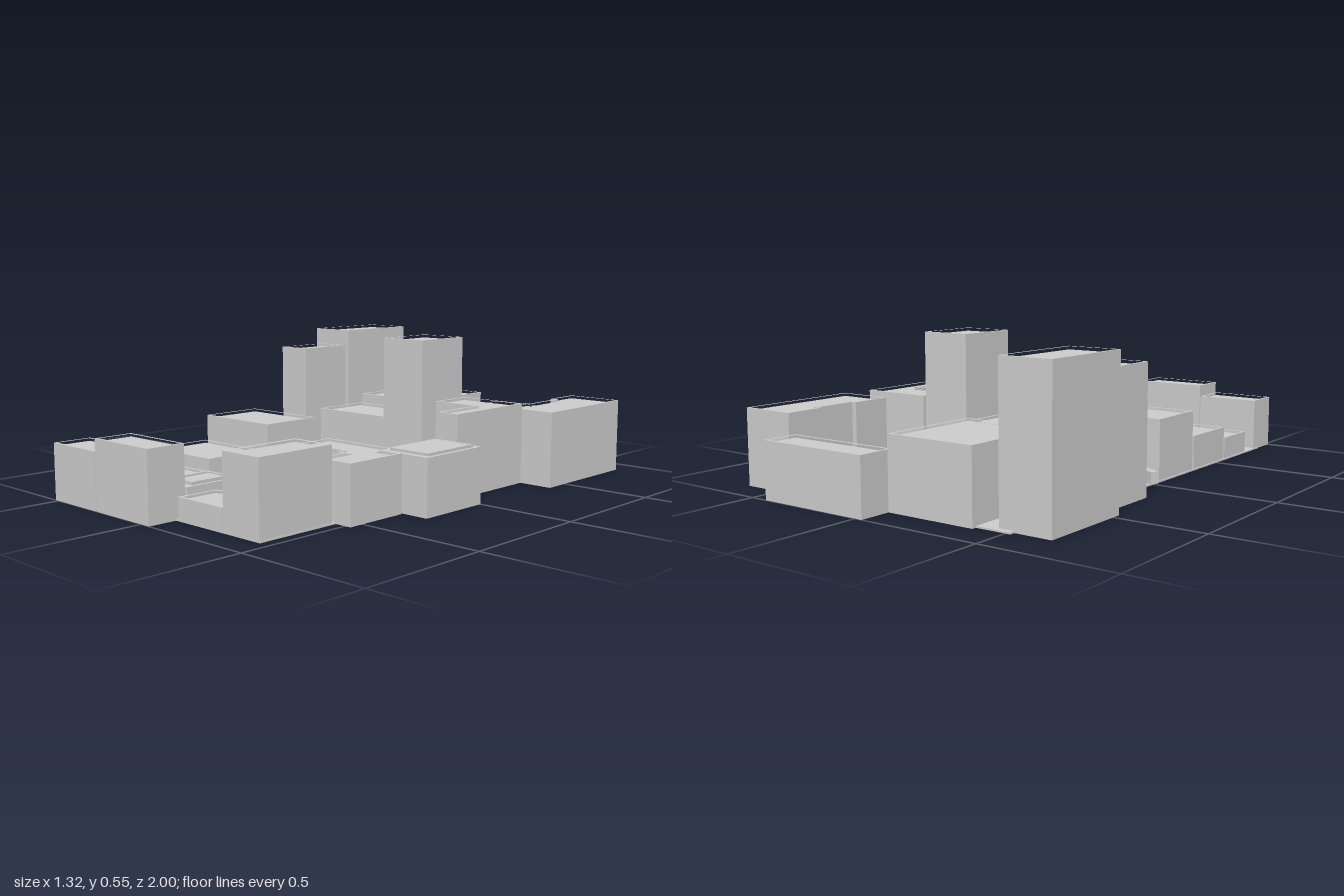
import * as THREE from 'three';

const material = new THREE.MeshStandardMaterial({ color: 0xcccccc });

// Rectangle footprint as [x, z] corners
const rect = (x0, x1, z0, z1) => [[x0, z0], [x1, z0], [x1, z1], [x0, z1]];

// Move every edge of a footprint (same corner order as rect) inwards by d
function inset(points, d) {
  const n = points.length;
  const normal = (a, b) => {
    const dx = b[0] - a[0], dz = b[1] - a[1], len = Math.hypot(dx, dz);
    return [-dz / len, dx / len];
  };
  return points.map((p, i) => {
    const a = normal(points[(i + n - 1) % n], p);
    const b = normal(p, points[(i + 1) % n]);
    return [p[0] + d * (a[0] + b[0]), p[1] + d * (a[1] + b[1])];
  });
}

// Upright prism over a footprint, optionally with an opening
function prism(name, points, y0, y1, hole) {
  const toVec = ([x, z]) => new THREE.Vector2(x, -z);
  const shape = new THREE.Shape(points.map(toVec));
  if (hole) shape.holes.push(new THREE.Path(hole.map(toVec)));
  const geometry = new THREE.ExtrudeGeometry(shape, { depth: y1 - y0, bevelEnabled: false });
  geometry.rotateX(-Math.PI / 2);
  geometry.translate(0, y0, 0);
  const mesh = new THREE.Mesh(geometry, material);
  mesh.name = name;
  return mesh;
}

// Building with a recessed flat roof behind a parapet
function building(name, points, height, rim = 0.01, depth = 0.012) {
  const group = new THREE.Group();
  group.name = name;
  group.add(
    prism('walls', points, 0, height - depth),
    prism('parapet', points, height - depth, height, inset(points, rim)),
  );
  return group;
}

// Building whose flat top carries a smaller raised frame
function framedBuilding(name, points, frame, height, rise) {
  const group = new THREE.Group();
  group.name = name;
  group.add(
    prism('walls', points, 0, height),
    prism('roofFrame', frame, height, height + rise, inset(frame, 0.012)),
  );
  return group;
}

export function createModel() {
  const city = new THREE.Group();
  city.name = 'cityBlock';
  city.add(prism('groundSlab', rect(-0.52, 0.46, -0.86, 0.89), 0, 0.006));

  const buildings = [
    // Back rows
    ['tallBackTower', rect(-0.66, -0.46, -0.84, -0.465), 0.54],
    ['slimSideTower', rect(-0.605, -0.46, -0.445, -0.2), 0.475],
    ['backHall', rect(-0.385, -0.03, -0.877, -0.475), 0.262],
    ['backHallAnnex', rect(-0.31, -0.065, -0.475, -0.405), 0.1],
    ['rearBlock', rect(-0.03, 0.43, -1, -0.86), 0.21],
    ['notchedSideBlock', [[0.435, -0.885], [0.657, -0.885], [0.657, -0.4], [0.435, -0.4],
      [0.435, -0.56], [0.455, -0.56], [0.455, -0.73], [0.435, -0.73]], 0.288],
    // Middle rows
    ['centreHall', rect(-0.325, 0.035, -0.4, -0.155), 0.235],
    ['centreTower', rect(0.037, 0.233, -0.397, -0.148), 0.55],
    ['cornerBlock', [[0.243, -0.4], [0.522, -0.4], [0.522, 0], [0.43, 0],
      [0.43, -0.222], [0.243, -0.222]], 0.31],
    ['sideHouse', rect(-0.515, -0.155, 0.045, 0.3), 0.235],
    ['courtHouse', [[-0.057, 0.067], [0.28, 0.067], [0.28, 0.257], [0.17, 0.257],
      [0.17, 0.222], [0.05, 0.222], [0.05, 0.257], [-0.057, 0.257]], 0.165],
    ['smallSideBlock', rect(0.375, 0.525, 0.305, 0.557), 0.21],
    ['lowSideHouse', rect(-0.515, -0.18, 0.31, 0.567), 0.135],
    // Front rows
    ['lowNotchedHouse', [[-0.515, 0.575], [-0.18, 0.575], [-0.18, 0.765], [-0.285, 0.765],
      [-0.285, 0.732], [-0.405, 0.732], [-0.405, 0.765], [-0.515, 0.765]], 0.09],
    ['lowFrontHall', [[0.057, 0.405], [0.284, 0.405], [0.284, 0.89], [0.057, 0.89],
      [0.057, 0.73], [0.078, 0.73], [0.078, 0.57], [0.057, 0.57]], 0.083],
    ['frontCornerBlock', rect(0.286, 0.457, 0.573, 0.89), 0.267, 0.014],
    ['frontLowBlock', rect(-0.515, -0.258, 0.85, 1), 0.21],
    ['frontHighBlock', rect(-0.255, 0.043, 0.85, 1), 0.256],
  ];
  for (const spec of buildings) city.add(building(...spec));

  city.add(
    framedBuilding('framedSideBlock', rect(0.42, 0.63, 0, 0.297), rect(0.445, 0.615, 0.03, 0.275), 0.207, 0.01),
    framedBuilding('framedSmallHouse', rect(-0.175, -0.033, 0.573, 0.782), rect(-0.165, -0.045, 0.585, 0.752), 0.085, 0.012),
  );

  // Two small angled walls at the edge of the slab: x, z, length, width, turn
  for (const [x, z, length, width, turn] of [
    [-0.478, 0.003, 0.14, 0.032, -0.5],
    [-0.483, -0.115, 0.15, 0.026, 1.33],
  ]) {
    const wall = new THREE.Mesh(new THREE.BoxGeometry(length, 0.045, width), material);
    wall.position.set(x, 0.0325, z);
    wall.rotation.y = turn;
    wall.name = 'angledWall';
    city.add(wall);
  }
  return city;
}
